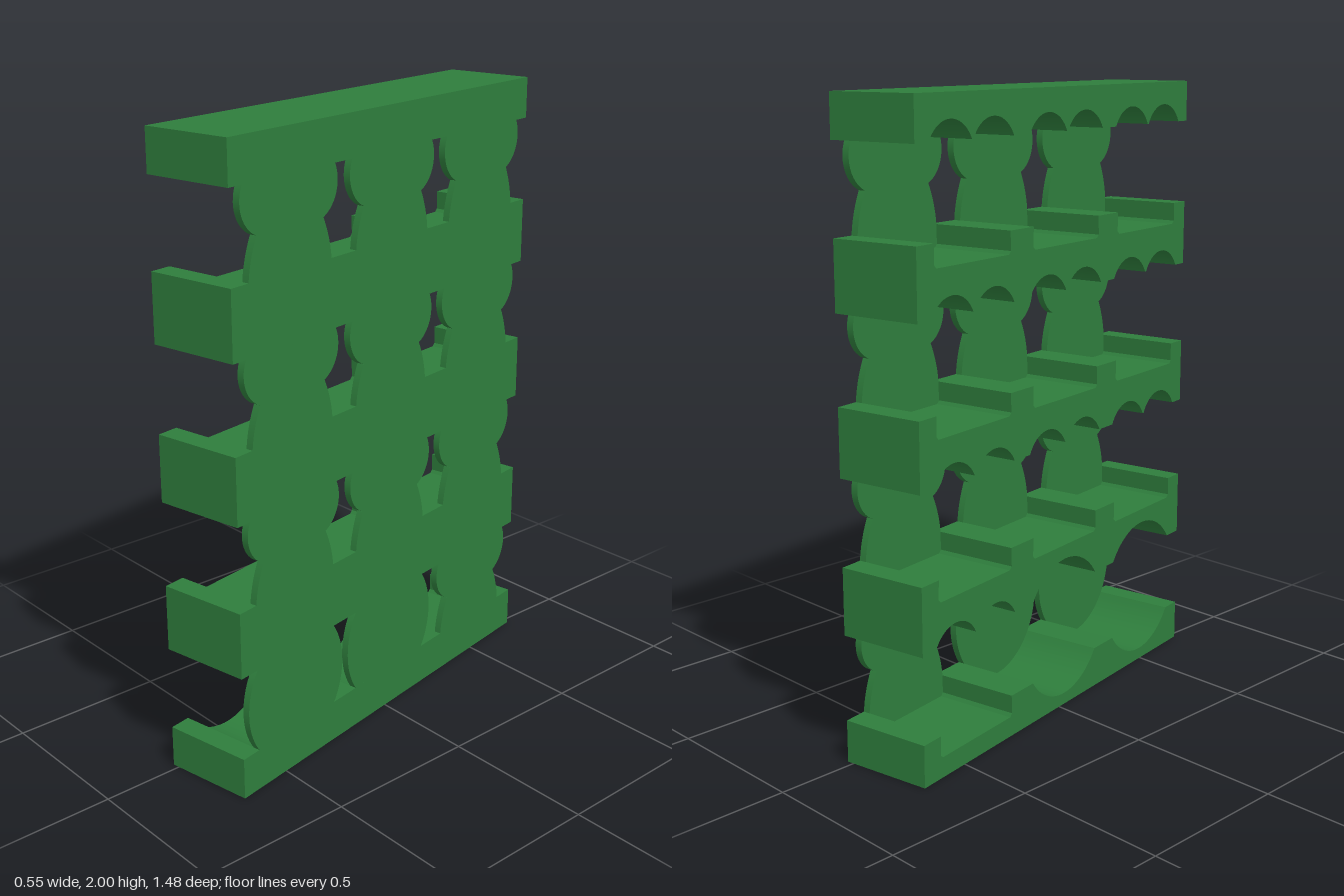
import * as THREE from 'three';
import { toCreasedNormals } from 'three/addons/utils/BufferGeometryUtils.js';

const LEN = 1.452, HALF = 0.15, PLATE = 0.127;   // length, half depth, inner face of the back plate
const GAP = 0.273, PITCH = 0.4865, EDGE = 0.135; // clear opening, row pitch, end rail height
const COLS = [-0.476, -0.004, 0.47];             // pocket centres along the rails

const green = new THREE.MeshStandardMaterial({ color: 0x2e7d3c });
green.name = 'green';

const arc = (cx, cy, rx, ry, a, b, n) => Array.from({ length: n + 1 }, (_, i) => {
  const t = a + (b - a) * i / n;
  return [cx + rx * Math.cos(t), cy + ry * Math.sin(t)];
});
const mirror = pts => pts.map(([x, y]) => [-x, y]).reverse();

// Two-lobed pocket: right half pieces, heights measured from the rail top
function lobedPocket() {
  const cx = 0.1, cy = 0.225, r = 0.108;
  const neck = Math.asin(-0.0995 / r), top = Math.asin((GAP - cy) / r);
  const cusp = Math.PI - Math.acos(cx / r);
  const body = [];
  for (let i = 0; i <= 10; i++) {
    const t = 0.1255 * i / 10;
    body.push([0.18 - 0.037 * ((t + 0.03) / 0.1555) ** 2, t]);
  }
  const side = [...body, ...arc(cx, cy, r, r, neck, top, 14)];
  const inner = arc(cx, cy, r, r, Math.PI - top, cusp, 2);
  const lobe = arc(cx, cy, r, r, top, Math.PI - top, 18);
  const floor = [[0.17, -0.07], [0.18, -0.06], [0.178, 0]];
  return {
    floor: [...mirror(floor), ...floor],
    roof: [...lobe, ...mirror(lobe)],
    plate: [...side, ...inner, ...mirror([...side, ...inner])],
  };
}

// Round pocket
function roundPocket() {
  const rx = 0.222, ry = 0.233, cy = GAP / 2, a = Math.asin(cy / ry), P = Math.PI;
  return {
    floor: arc(0, cy, rx, ry, P + a, 2 * P - a, 24),
    roof: arc(0, cy, rx, ry, a, P - a, 24),
    plate: [...arc(0, cy, rx, ry, -a, a, 24), ...arc(0, cy, rx, ry, P - a, P + a, 24)],
  };
}

const lobed = lobedPocket(), round = roundPocket();
const pocketAt = (row, col) => (row === 0 && col < 2 ? round : lobed);
const shift = (pts, dx, dy) => pts.map(([x, y]) => [x + dx, y + dy]);

// Extrude an outline across the depth of the rack
function slab(pts, from, to, name) {
  const shape = new THREE.Shape(pts.map(p => new THREE.Vector2(...p)));
  let geo = new THREE.ExtrudeGeometry(shape, { depth: to - from, bevelEnabled: false });
  geo.translate(0, 0, from);
  geo.rotateY(Math.PI / 2);
  geo = toCreasedNormals(geo, 0.5);
  const mesh = new THREE.Mesh(geo, green);
  mesh.name = name;
  return mesh;
}

export function createModel() {
  const rack = new THREE.Group();
  rack.name = 'rack';
  const h = LEN / 2;

  for (let i = 0; i < 5; i++) {
    const top = EDGE + PITCH * i;
    const y1 = i === 4 ? 2 : top;
    const y0 = i === 0 ? 0 : EDGE + PITCH * (i - 1) + GAP;

    // Rail with pocket floors cut in its top and pocket roofs cut in its underside
    const outline = [[-h, y1]];
    if (i < 4) COLS.forEach((x, c) => outline.push(...shift(pocketAt(i, c).floor, x, top)));
    outline.push([h, y1], [h, y0]);
    if (i > 0) {
      for (let c = 2; c >= 0; c--) {
        outline.push(...shift(pocketAt(i - 1, c).roof, COLS[c], y0 - GAP));
      }
    }
    outline.push([-h, y0]);
    rack.add(slab(outline, -HALF, PLATE, 'rail'));

    // Uncut strip behind the rail
    rack.add(slab([[-h, y0], [h, y0], [h, y1], [-h, y1]], PLATE, HALF, 'railBack'));

    // Pocket backs spanning the opening above this rail
    if (i < 4) COLS.forEach((x, c) =>
      rack.add(slab(shift(pocketAt(i, c).plate, x, top), PLATE, HALF, 'pocketBack')));
  }

  // The rack stands slightly turned
  rack.rotation.y = THREE.MathUtils.degToRad(10);
  const model = new THREE.Group();
  model.name = 'pocketRack';
  model.add(rack);
  return model;
}
